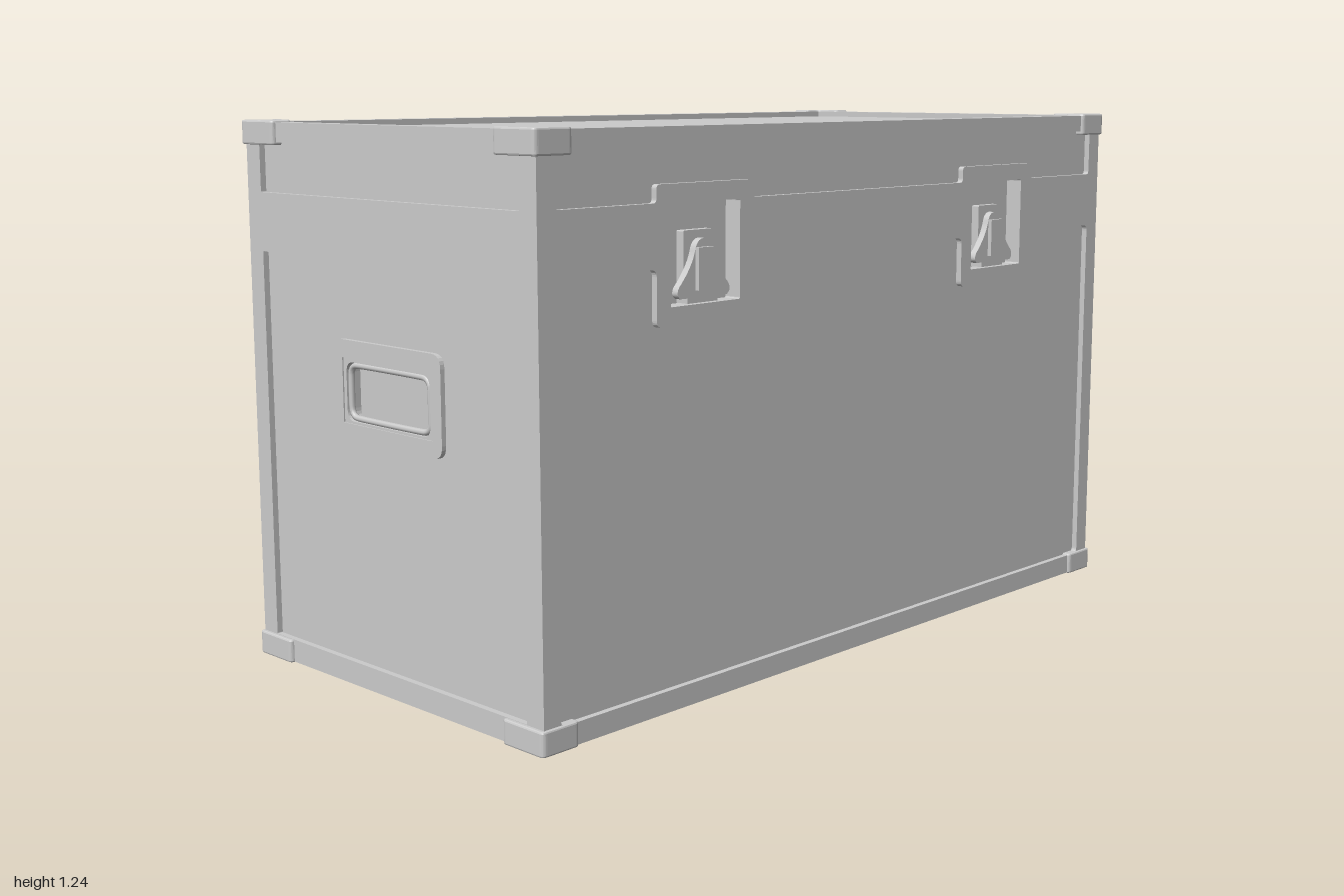
import * as THREE from 'three';

const W = 0.99, D = 0.493, Y0 = 0.005, Y1 = 1.236; // outer faces of the case
const T = 0.014;      // frame thickness = panel recess
const P = 0.028;      // panel thickness = depth of the dishes behind the panels
const LATCH_X = 0.525;

const mat = new THREE.MeshStandardMaterial({ color: 0xcccccc });

function add(parent, name, geometry, x = 0, y = 0, z = 0) {
  const mesh = new THREE.Mesh(geometry, mat);
  mesh.name = name;
  mesh.position.set(x, y, z);
  parent.add(mesh);
  return mesh;
}

function box(parent, name, x0, x1, y0, y1, z0, z1) {
  return add(parent, name, new THREE.BoxGeometry(x1 - x0, y1 - y0, z1 - z0),
    (x0 + x1) / 2, (y0 + y1) / 2, (z0 + z1) / 2);
}

// Closed outline with rounded corners; all holes and plates use it
function rounded(points, r, Type = THREE.Shape) {
  const s = new Type();
  const pts = points.map(p => new THREE.Vector2(p[0], p[1]));
  pts.forEach((p, i) => {
    const prev = pts[(i + pts.length - 1) % pts.length], next = pts[(i + 1) % pts.length];
    const a = p.clone().add(prev.clone().sub(p).setLength(r));
    const b = p.clone().add(next.clone().sub(p).setLength(r));
    if (i === 0) s.moveTo(a.x, a.y); else s.lineTo(a.x, a.y);
    s.quadraticCurveTo(p.x, p.y, b.x, b.y);
  });
  s.closePath();
  return s;
}

const rect = (x0, x1, y0, y1) => [[x0, y0], [x1, y0], [x1, y1], [x0, y1]];

function plate(parent, name, outline, r, holes, depth, z, bevel = 0) {
  const shape = rounded(outline, r);
  shape.holes = holes.map(h => rounded(h[0], h[1], THREE.Path));
  const geo = new THREE.ExtrudeGeometry(shape, {
    depth: depth - bevel, curveSegments: 6, bevelEnabled: bevel > 0,
    bevelSize: bevel, bevelOffset: -bevel, bevelThickness: bevel, bevelSegments: 2,
  });
  return add(parent, name, geo, 0, 0, z);
}

// Panel opening whose upper or lower edge steps around the latch plates
function notched(y0, y1, notchY, atTop) {
  const edge = atTop ? y1 : y0, pts = [];
  for (const c of [-LATCH_X, LATCH_X])
    pts.push([c - 0.145, edge], [c - 0.145, notchY], [c + 0.145, notchY], [c + 0.145, edge]);
  return atTop
    ? [[-0.945, y0], [0.945, y0], [0.945, y1], ...pts.reverse(), [-0.945, y1]]
    : [[-0.945, y0], ...pts, [0.945, y0], [0.945, y1], [-0.945, y1]];
}

function latch(parent, x) {
  const g = new THREE.Group();
  g.name = 'latch';
  g.position.set(x, 0, D - T - P);
  parent.add(g);
  plate(g, 'latchBase', rect(-0.045, 0.045, 0.87, 1.02), 0.003, [], 0.02, 0);
  box(g, 'latchFoot', -0.045, 0.045, 0.868, 0.885, 0, 0.032);
  // Bell-shaped turning key
  const s = new THREE.Shape();
  s.moveTo(-0.07, 0.88);
  s.lineTo(0.07, 0.88);
  s.quadraticCurveTo(0.085, 0.888, 0.074, 0.905);
  s.quadraticCurveTo(0.035, 0.945, 0.026, 0.98);
  s.quadraticCurveTo(0.02, 1.003, 0, 1.003);
  s.quadraticCurveTo(-0.02, 1.003, -0.026, 0.98);
  s.quadraticCurveTo(-0.035, 0.945, -0.074, 0.905);
  s.quadraticCurveTo(-0.085, 0.888, -0.07, 0.88);
  add(g, 'latchKey', new THREE.ExtrudeGeometry(s, { depth: 0.016, bevelEnabled: false }), 0, 0, 0.02);
  box(g, 'latchGrip', -0.025, 0.025, 0.895, 0.985, 0.034, 0.046);
}

function hinge(parent, x) {
  const g = new THREE.Group();
  g.name = 'hinge';
  g.position.set(x, 0, D);
  parent.add(g);
  box(g, 'hingeUpperLeaf', -0.04, 0.04, 1.012, 1.08, -T, 0.005);
  box(g, 'hingeLowerLeaf', -0.04, 0.04, 0.92, 1.002, -T, 0.005);
  box(g, 'hingeTopFlange', -0.05, 0.05, 1.07, 1.09, -T, 0.008);
  const pin = add(g, 'hingePin', new THREE.CylinderGeometry(0.008, 0.008, 0.084, 12), 0, 1.007, 0.001);
  pin.rotation.z = Math.PI / 2;
  box(g, 'hingeLowerRib', -0.042, 0.042, 0.945, 0.955, -T, 0.008);
}

function handle(parent) {
  const g = new THREE.Group();
  g.name = 'handle';
  g.position.z = W - T;
  parent.add(g);
  plate(g, 'handlePlate', rect(-0.185, 0.185, 0.555, 0.775), 0.03,
    [[rect(-0.155, 0.155, 0.592, 0.735), 0.002]], 0.011, 0);
  plate(g, 'handleRim', rect(-0.156, 0.156, 0.591, 0.736), 0.002,
    [[rect(-0.145, 0.145, 0.597, 0.727), 0.025]], 0.008, 0);
  // Folding bail lying in the dish
  const loop = rounded(rect(-0.138, 0.138, 0.604, 0.72), 0.025).getPoints(6)
    .slice(0, -1).map(p => new THREE.Vector3(p.x, p.y, 0));
  const path = new THREE.CatmullRomCurve3(loop, true, 'centripetal');
  add(g, 'handleBail', new THREE.TubeGeometry(path, 96, 0.007, 8, true), 0, 0, 0);
}

// Face group whose local +z points outward
function face(root, name, angle) {
  const g = new THREE.Group();
  g.name = name;
  g.rotation.y = angle;
  root.add(g);
  return g;
}

export function createModel() {
  const root = new THREE.Group();
  root.name = 'transportCase';
  const cx = W - T - P, cz = D - T - P;
  box(root, 'core', -cx, cx, Y0, Y1 - T, -cz, cz);

  // Front and back: recessed panel under an edge frame
  const dishes = [-LATCH_X, LATCH_X].map(c => [rect(c - 0.105, c + 0.105, 0.867, 1.08), 0.004]);
  const wide = rect(-W, W, Y0, Y1), widePanel = rect(-W + T, W - T, Y0, Y1 - T);
  const front = face(root, 'front', 0);
  plate(front, 'frontPanel', widePanel, 0.001, dishes, P, cz);
  plate(front, 'frontFrame', wide, 0.001, [
    [notched(0.05, 0.947, 0.827, true), 0.015],
    [notched(1.082, 1.195, 1.12, false), 0.01], ...dishes,
  ], T, D - T);
  for (const c of [-LATCH_X, LATCH_X]) latch(front, c);

  const back = face(root, 'back', Math.PI);
  plate(back, 'backPanel', widePanel, 0.001, [], P, cz);
  plate(back, 'backFrame', wide, 0.001, [
    [rect(-0.945, 0.945, 0.05, 0.947), 0.003],
    [rect(-0.945, 0.945, 1.082, 1.195), 0.003],
  ], T, D - T);
  for (const x of [-0.705, 0, 0.705]) hinge(back, x);

  // Ends with sunken handles
  for (const s of [1, -1]) {
    const end = face(root, s > 0 ? 'leftEnd' : 'rightEnd', s * Math.PI / 2);
    const dish = [rect(-0.145, 0.145, 0.597, 0.727), 0.025];
    plate(end, 'endPanel', rect(-cz, cz, Y0, Y1 - T), 0.001, [dish], P, cx);
    plate(end, 'endFrame', rect(-D + T, D - T, Y0, Y1), 0.001, [
      [rect(-0.442, 0.442, 0.055, 0.947), 0.002],
      [rect(-0.442, 0.442, 1.08, 1.192), 0.002],
    ], T, W - T);
    handle(end);
  }

  // Lid frame around the recessed top panel
  const lid = plate(root, 'lidFrame', rect(-W + T, W - T, -D + T, D - T), 0.001,
    [[rect(-0.942, 0.942, -0.44, 0.44), 0.002]], T, 0);
  lid.rotation.x = -Math.PI / 2;
  lid.position.y = Y1 - T;
  box(root, 'base', -W, W, 0.002, Y0 + 0.002, -D, D);

  // Wrap-around protectors on all eight corners
  const corner = [[1, 0.5], [0.9, 0.5], [0.9, 0.445], [0.946, 0.445], [0.946, 0.375], [1, 0.375]];
  for (const sx of [1, -1]) for (const sz of [1, -1]) for (const y of [0, 1.19]) {
    const pts = corner.map(p => [p[0] * sx, -p[1] * sz]);
    const c = plate(root, 'cornerProtector', pts, 0.012, [], 0.05, 0, 0.004);
    c.rotation.x = -Math.PI / 2;
    c.position.y = y + (y ? 0 : 0.004);
  }
  return root;
}
